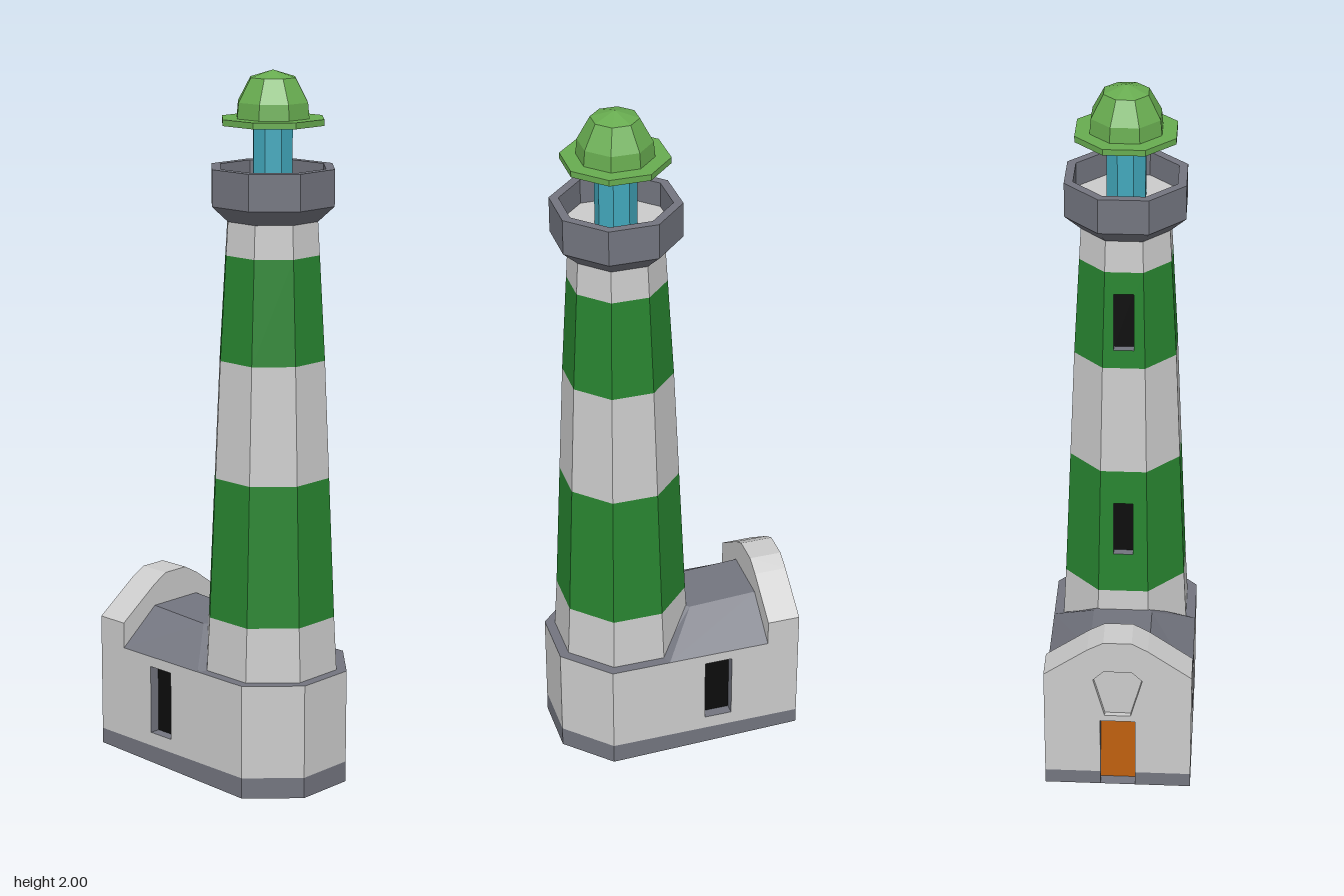
import * as THREE from 'three';

const mat = (color) => new THREE.MeshStandardMaterial({ color, flatShading: true, side: THREE.DoubleSide });
const stone = mat(0xcccccc), slate = mat(0x73757f), green = mat(0x288430), leaf = mat(0x68ac50);
const glass = mat(0x42a8bc), wood = mat(0xc0600f), black = mat(0x0c0c0c);

const AXIS = 0.135;                 // z of the tower axis
const OCT = Math.cos(Math.PI / 8);  // apothem / radius of an octagon
const HALF = Math.tan(Math.PI / 8); // half side / apothem

const v2 = (pts) => pts.map(([x, y]) => new THREE.Vector2(x, y));
const rect = (x0, x1, y0, y1) => [[x0, y0], [x1, y0], [x1, y1], [x0, y1]];

function add(parent, name, geometry, material) {
  const mesh = new THREE.Mesh(geometry, material);
  mesh.name = name;
  parent.add(mesh);
  return mesh;
}

// Triangles from quads given as corner lists
function quads(list) {
  const pos = [];
  for (const [a, b, c, d] of list) pos.push(...a, ...b, ...c, ...a, ...c, ...d);
  const g = new THREE.BufferGeometry();
  g.setAttribute('position', new THREE.Float32BufferAttribute(pos, 3));
  g.computeVertexNormals();
  return g;
}

// Octagonal shell from a profile of [apothem, y]
function octagon(parent, name, profile, material) {
  const pts = v2(profile.map(([a, y]) => [a / OCT, y]));
  const g = new THREE.LatheGeometry(pts, 8, Math.PI / 8).toNonIndexed();
  g.computeVertexNormals();
  add(parent, name, g, material).position.z = AXIS;
}

// Flat panel facing local +z, with holes
function panel(parent, name, outline, material, holes = []) {
  const shape = new THREE.Shape(v2(outline));
  for (const h of holes) shape.holes.push(new THREE.Path(v2(h)));
  return add(parent, name, new THREE.ShapeGeometry(shape), material);
}

// Jambs and back pane of an opening sunk behind a panel
function recess(parent, name, outline, depth, jamb, pane) {
  const sides = outline.map(([x, y], i) => {
    const [u, v] = outline[(i + 1) % outline.length];
    return [[x, y, 0], [x, y, -depth], [u, v, -depth], [u, v, 0]];
  });
  add(parent, name + 'Jambs', quads(sides), jamb);
  panel(parent, name + 'Pane', outline, pane).position.z = -depth;
}

// One tapering tower band; a window replaces its plain rear face
function towerBand(parent, name, a0, a1, y0, y1, material, win) {
  const h = y1 - y0;
  const start = win ? Math.PI * 9 / 8 : Math.PI / 8, sides = win ? 7 : 8;
  const g = new THREE.CylinderGeometry(a1 / OCT, a0 / OCT, h, sides, 1, true, start, sides * Math.PI / 4).toNonIndexed();
  g.computeVertexNormals();
  add(parent, name, g, material).position.set(0, (y0 + y1) / 2, AXIS);
  if (!win) return;
  const turn = new THREE.Group(), face = new THREE.Group();
  turn.name = name + 'RearFace';
  turn.position.set(0, y0, AXIS);
  turn.rotation.y = Math.PI;
  face.position.z = a0;
  face.rotation.x = -Math.atan2(a0 - a1, h);
  turn.add(face);
  parent.add(turn);
  const L = Math.hypot(h, a0 - a1), w0 = a0 * HALF, w1 = a1 * HALF;
  const hole = rect(-0.028, 0.028, win[0] - y0, win[1] - y0);
  panel(face, name + 'RearWall', [[-w0, 0], [w0, 0], [w1, L], [-w1, L]], material, [hole]);
  recess(face, name + 'Window', hole, 0.025, slate, black);
}

function buildTower(group) {
  towerBand(group, 'towerFoot', 0.182, 0.174, 0.33, 0.485, stone);
  towerBand(group, 'lowerGreenBand', 0.174, 0.157, 0.485, 0.885, green, [0.61, 0.78]);
  towerBand(group, 'middleBand', 0.157, 0.143, 0.885, 1.215, stone);
  towerBand(group, 'upperGreenBand', 0.143, 0.127, 1.215, 1.505, green, [1.27, 1.44]);
  towerBand(group, 'towerNeck', 0.127, 0.121, 1.505, 1.61, stone);

  octagon(group, 'gallery', [[0.115, 1.59], [0.165, 1.64], [0.165, 1.74], [0.141, 1.74], [0.141, 1.67]], slate);
  octagon(group, 'galleryFloor', [[0.141, 1.67], [0, 1.67]], stone);
  octagon(group, 'lantern', [[0.053, 1.67], [0.053, 1.86]], glass);
  octagon(group, 'domeBrim', [[0, 1.855], [0.136, 1.855], [0.136, 1.872], [0.09, 1.872]], leaf);
  octagon(group, 'dome', [[0.097, 1.87], [0.093, 1.915], [0.06, 1.98], [0, 2]], leaf);
}

function buildHouse(group) {
  const W = 0.21, BACK = -0.345, GABLE = -0.25, corner = AXIS + W * HALF;

  // Three front facets of the base, and the ledge above them
  for (const [name, y0, y1, m] of [['frontPlinth', 0, 0.06, slate], ['frontWall', 0.06, 0.33, stone]]) {
    const g = new THREE.CylinderGeometry(W / OCT, W / OCT, y1 - y0, 3, 1, true, -Math.PI * 3 / 8, Math.PI * 3 / 4).toNonIndexed();
    g.computeVertexNormals();
    add(group, name, g, m).position.set(0, (y0 + y1) / 2, AXIS);
  }
  octagon(group, 'ledge', [[W, 0.33], [0.17, 0.33]], slate);

  // Side walls, each with a sunken window
  for (const s of [1, -1]) {
    const side = new THREE.Group();
    side.name = s > 0 ? 'leftSide' : 'rightSide';
    side.position.x = s * W;
    side.rotation.y = s * Math.PI / 2;
    group.add(side);
    const flip = (pts) => pts.map(([z, y]) => [-s * z, y]);
    const hole = flip(rect(-0.14, -0.058, 0.1, 0.3));
    panel(side, 'sideWall', flip([[corner, 0.06], [BACK, 0.06], [BACK, 0.405], [GABLE, 0.405], [GABLE, 0.33], [corner, 0.33]]), stone, [hole]);
    panel(side, 'sidePlinth', flip([[corner, 0], [BACK, 0.015], [BACK, 0.06], [corner, 0.06]]), slate);
    recess(side, 'sideWindow', hole, 0.03, slate, black);
  }

  // Rear wall with door and niche
  const arch = [[W, 0.405], [0.085, 0.495], [0.04, 0.52], [-0.04, 0.52], [-0.085, 0.495], [-W, 0.405]];
  const D = 0.05, doorTop = 0.245;
  const niche = [[-0.037, 0.265], [0.037, 0.265], [0.07, 0.39], [0.04, 0.42], [-0.04, 0.42], [-0.07, 0.39]];
  const rear = new THREE.Group();
  rear.name = 'rear';
  rear.position.z = BACK;
  rear.rotation.y = Math.PI;
  group.add(rear);
  panel(rear, 'rearWall', [[-W, 0.06], [-D, 0.06], [-D, doorTop], [D, doorTop], [D, 0.06], [W, 0.06], ...arch], stone, [niche]);
  panel(rear, 'rearPlinth', rect(-W, -D, 0.015, 0.06), slate);
  panel(rear, 'rearPlinth', rect(D, W, 0.015, 0.06), slate);
  recess(rear, 'door', rect(-D, D, 0.015, doorTop), 0.035, slate, wood);
  recess(rear, 'niche', niche, 0.015, stone, stone);

  // Arched gable: coping strip and the face above the roof
  const coping = arch.slice(1).map(([x, y], i) => {
    const [u, v] = arch[i];
    return [[u, v, BACK], [x, y, BACK], [x, y, GABLE], [u, v, GABLE]];
  });
  add(group, 'gableCoping', quads(coping), stone);
  panel(group, 'gableFront', [[-W, 0.33], [W, 0.33], ...arch], stone).position.z = GABLE;

  // Roof: flat ridge, two slopes, mitred ends against the tower
  const roof = [
    [[-0.085, 0.43, GABLE], [-0.085, 0.42, -0.05], [0.085, 0.42, -0.05], [0.085, 0.43, GABLE]],
    [[-0.085, 0.42, -0.05], [-0.065, 0.42, -0.025], [0.065, 0.42, -0.025], [0.085, 0.42, -0.05]],
  ];
  for (const s of [1, -1]) {
    const slope = [[s * 0.085, 0.43, GABLE], [s * 0.085, 0.42, -0.05], [s * W, 0.33, 0.05], [s * W, 0.33, GABLE]];
    const mitre = [[s * 0.085, 0.42, -0.05], [s * 0.065, 0.42, -0.025], [s * 0.17, 0.33, 0.065], [s * W, 0.33, 0.05]];
    for (const q of [slope, mitre]) roof.push(s > 0 ? q : q.reverse());
  }
  add(group, 'roof', quads(roof), slate);
}

export function createModel() {
  const model = new THREE.Group();
  model.name = 'lighthouse';
  for (const [name, build] of [['tower', buildTower], ['house', buildHouse]]) {
    const part = new THREE.Group();
    part.name = name;
    build(part);
    model.add(part);
  }
  return model;
}
